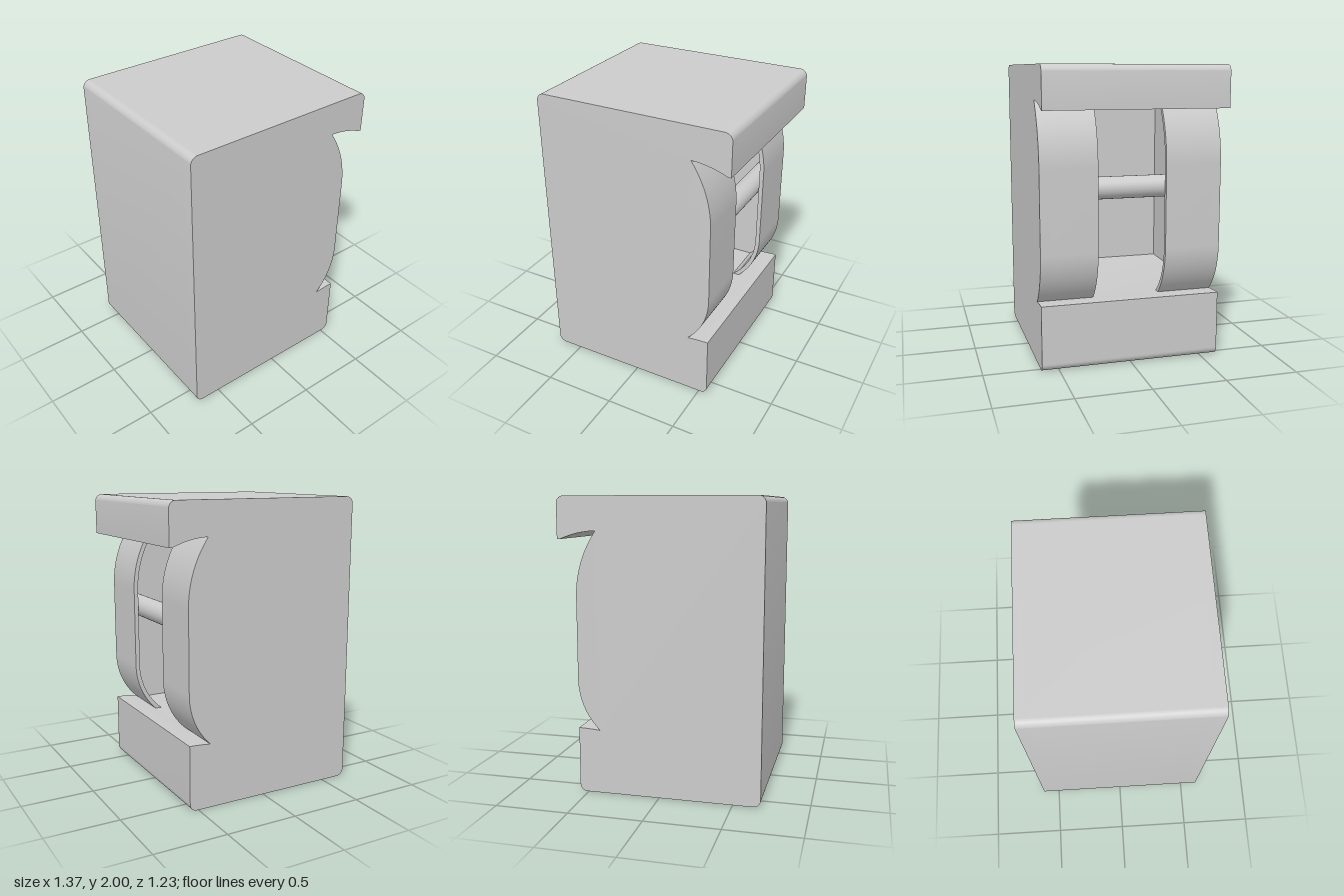
import * as THREE from 'three';
import { toCreasedNormals } from 'three/addons/utils/BufferGeometryUtils.js';

const HALF_DEPTH = 0.617, WALL = 0.06, SLOT = 0.232, SKIN = 0.03;
const LEFT = -0.685, LIP = 0.685, FRONT = 0.56, R = 0.05;
const TOP_TIP = [0.42, 1.775], LOW_TIP = [0.41, 0.44];
const UPPER = { y: 1.34, r: 0.745 }, LOWER = { y: 0.79, r: 0.483 };

const material = new THREE.MeshStandardMaterial({ color: 0xcccccc });

// Outline shared by the case: from the low notch tip round the outside to the upper tip
function outerPath() {
  const s = new THREE.Shape();
  s.moveTo(...LOW_TIP);
  s.quadraticCurveTo(0.48, 0.449, FRONT, 0.45);
  s.lineTo(FRONT, R);
  s.absarc(FRONT - R, R, R, 0, -Math.PI / 2, true);
  s.absarc(LEFT + R, R, R, -Math.PI / 2, -Math.PI, true);
  s.absarc(LEFT + R, 2 - R, R, Math.PI, Math.PI / 2, true);
  s.absarc(LIP - R, 2 - R, R, Math.PI / 2, 0, true);
  s.lineTo(LIP, 1.72);
  s.lineTo(0.665, 1.72);
  s.quadraticCurveTo(0.545, 1.772, ...TOP_TIP);
  return s;
}

// Bulging front curve, running down from the upper tip to the low tip
function bulge(s) {
  const a = Math.asin((TOP_TIP[1] - UPPER.y) / UPPER.r);
  const b = Math.asin((LOWER.y - LOW_TIP[1]) / LOWER.r);
  s.absarc(FRONT - UPPER.r, UPPER.y, UPPER.r, a, 0, true);
  s.absarc(FRONT - LOWER.r, LOWER.y, LOWER.r, 0, -b, true);
}

function extrude(name, shape, z0, z1) {
  const geo = new THREE.ExtrudeGeometry(shape, { depth: z1 - z0, bevelEnabled: false, curveSegments: 16 });
  geo.translate(0, 0, z0);
  const mesh = new THREE.Mesh(toCreasedNormals(geo, 0.5), material);
  mesh.name = name;
  return mesh;
}

export function createModel() {
  const group = new THREE.Group();
  group.name = 'dispenser';

  // Base, back wall and overhanging top as one C-shaped body
  const body = outerPath();
  body.lineTo(LEFT + WALL, TOP_TIP[1]);
  body.lineTo(LEFT + WALL, LOW_TIP[1]);
  body.closePath();
  const inner = HALF_DEPTH - WALL;
  group.add(extrude('body', body, -inner, inner));

  // Full side walls
  const side = outerPath();
  bulge(side);

  // Thin curved panels either side of the slot
  const panel = new THREE.Shape();
  panel.moveTo(...TOP_TIP);
  bulge(panel);
  panel.lineTo(LOW_TIP[0] - SKIN * 1.2, LOW_TIP[1]);
  const inLow = Math.asin((LOWER.y - LOW_TIP[1]) / (LOWER.r - SKIN));
  const inTop = Math.asin((TOP_TIP[1] - UPPER.y) / (UPPER.r - SKIN));
  panel.absarc(FRONT - LOWER.r, LOWER.y, LOWER.r - SKIN, -inLow, 0, false);
  panel.absarc(FRONT - UPPER.r, UPPER.y, UPPER.r - SKIN, 0, inTop, false);
  panel.closePath();

  for (const [label, sign] of [['front', 1], ['back', -1]]) {
    const span = (a, b) => (sign > 0 ? [a, b] : [-b, -a]);
    group.add(extrude(label + 'SideWall', side, ...span(inner, HALF_DEPTH)));
    group.add(extrude(label + 'CurvedPanel', panel, ...span(SLOT, inner)));
  }

  // Roller across the slot
  const roller = new THREE.Mesh(new THREE.CylinderGeometry(0.075, 0.075, 2 * inner, 40), material);
  roller.name = 'roller';
  roller.rotation.x = Math.PI / 2;
  roller.position.set(0.44, 1.195, 0);
  group.add(roller);

  return group;
}
